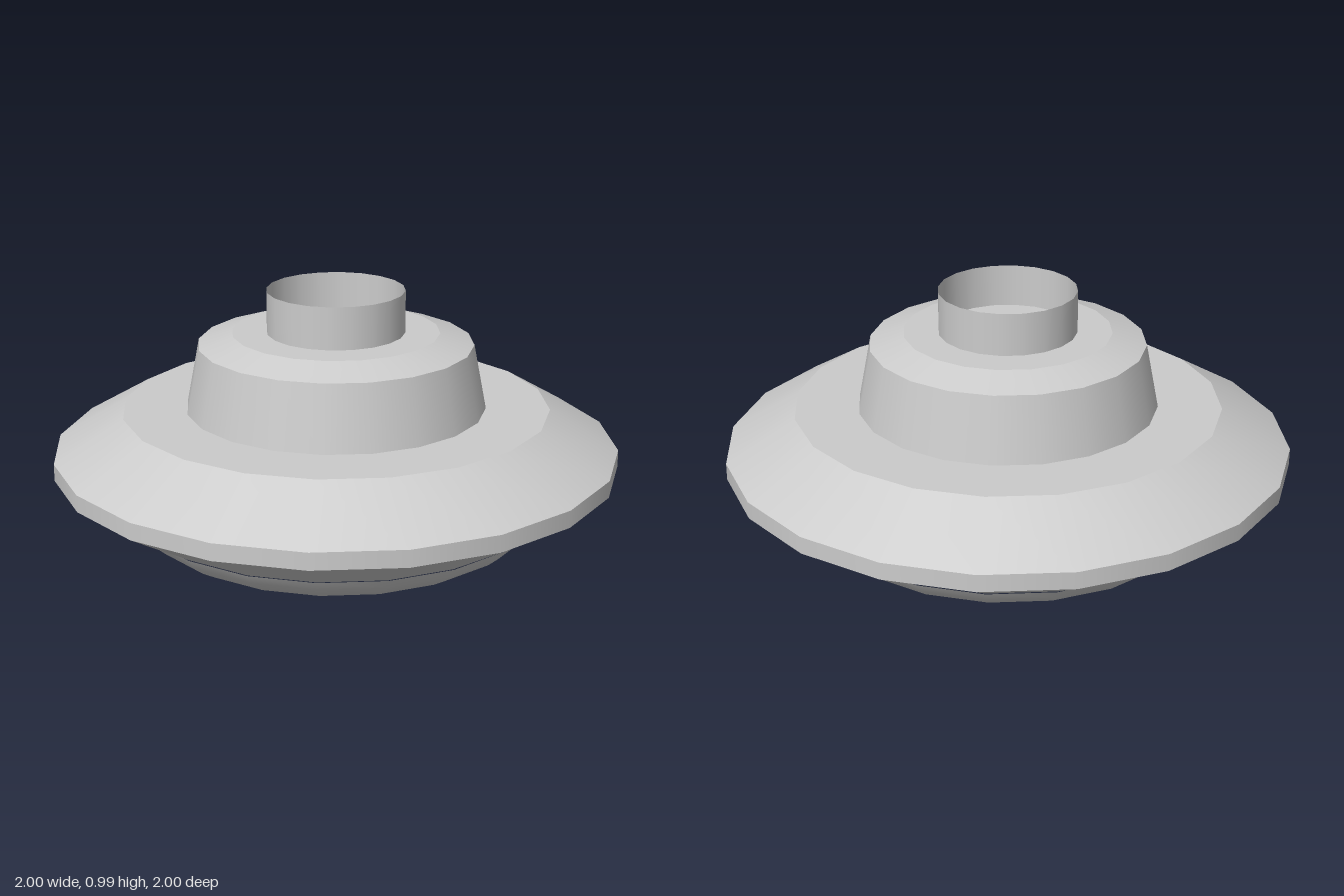
import * as THREE from 'three';

const SIDES = 20;

export function createModel() {
  const model = new THREE.Group();
  const solid = new THREE.MeshStandardMaterial({ color: 0xcccccc });
  const open = new THREE.MeshStandardMaterial({ color: 0xcccccc, side: THREE.DoubleSide });

  // One lathe per band keeps the edges between bands sharp
  const band = (name, points, material = solid) => {
    const profile = points.map(([r, y]) => new THREE.Vector2(r, y));
    const mesh = new THREE.Mesh(new THREE.LatheGeometry(profile, SIDES), material);
    mesh.name = name;
    model.add(mesh);
  };

  // Rounded belly: shallow ellipse arc from the bottom centre to the hull
  const belly = [];
  for (let i = 0; i <= 10; i++) {
    const a = (i / 10) * 1.41;
    belly.push([0.755 * Math.sin(a), 0.25 * (1 - Math.cos(a))]);
  }
  band('belly', belly);

  // Saucer hull
  band('lowerHull', [[0.74, 0.21], [1, 0.365]]);
  band('rim', [[1, 0.365], [1, 0.425]]);
  band('upperHull', [[1, 0.425], [0.755, 0.57]]);
  band('deck', [[0.755, 0.57], [0.53, 0.57]]);

  // Cabin with bevelled roof
  band('cabinWall', [[0.53, 0.57], [0.485, 0.8]]);
  band('roofBevel', [[0.485, 0.8], [0.365, 0.84]]);
  band('roof', [[0.365, 0.84], [0, 0.84]]);

  // Open neck standing on the roof
  band('neck', [[0.243, 0.84], [0.243, 0.99]], open);

  return model;
}
